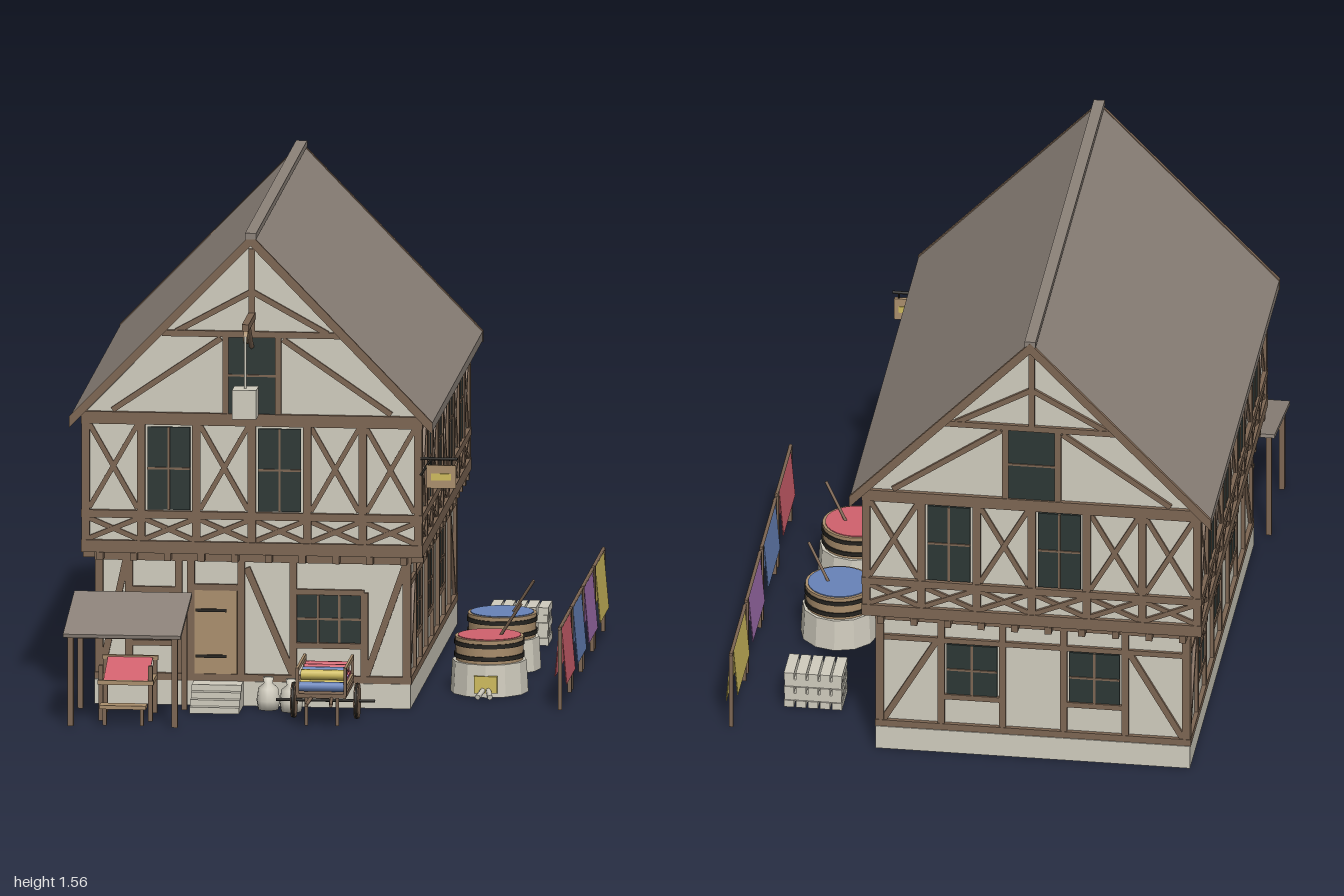
import * as THREE from 'three';

const mat = (name, color) => Object.assign(new THREE.MeshStandardMaterial({ color }), { name });
const M = {
  timber: mat('timber', 0x7d6653), plaster: mat('plaster', 0xd0ccbe), roof: mat('roof', 0x8c8279),
  glass: mat('glass', 0x2d3735), iron: mat('iron', 0x25231f), oak: mat('oak', 0xab8f6d),
  red: mat('red', 0xd0616d), blue: mat('blue', 0x6782b8), purple: mat('purple', 0xa06fae), yellow: mat('yellow', 0xcfbc5e),
};

function add(parent, name, geo, m, x = 0, y = 0, z = 0) {
  const mesh = new THREE.Mesh(geo, m);
  mesh.name = name;
  mesh.position.set(x, y, z);
  parent.add(mesh);
  return mesh;
}
const box = (p, name, m, w, h, d, x, y, z) => add(p, name, new THREE.BoxGeometry(w, h, d), m, x, y, z);
function flatCylinder(r1, r2, h, n) {
  const g = new THREE.CylinderGeometry(r1, r2, h, n).toNonIndexed();
  g.computeVertexNormals();
  return g;
}
function group(parent, name, x = 0, y = 0, z = 0, ry = 0) {
  const g = new THREE.Group();
  g.name = name;
  g.position.set(x, y, z);
  g.rotation.y = ry;
  parent.add(g);
  return g;
}
// Round rod between two points
function rod(p, name, m, a, b, r, n = 8) {
  const A = new THREE.Vector3(...a), B = new THREE.Vector3(...b), d = B.clone().sub(A);
  const mesh = add(p, name, new THREE.CylinderGeometry(r, r, d.length(), n), m);
  mesh.position.copy(A).add(B).multiplyScalar(0.5);
  mesh.quaternion.setFromUnitVectors(new THREE.Vector3(0, 1, 0), d.normalize());
}
// Flat timber in a facade plane, sunk slightly into the wall
function beam(p, u1, y1, u2, y2, w = 0.02, out = 0) {
  const L = Math.hypot(u2 - u1, y2 - y1);
  const b = box(p, 'timberBeam', M.timber, L, w, 0.02, (u1 + u2) / 2, (y1 + y2) / 2, out - 0.01);
  b.rotation.z = Math.atan2(y2 - y1, u2 - u1);
}
function cross(p, u1, y1, u2, y2, w) {
  beam(p, u1, y1, u2, y2, w, -0.002);
  beam(p, u1, y2, u2, y1, w, -0.004);
}
function windowPanes(p, u, y1, y2, w, cols = 2) {
  const h = y2 - y1, y = (y1 + y2) / 2;
  box(p, 'windowGlass', M.glass, w, h, 0.008, u, y, -0.009);
  for (let i = 1; i < cols; i++) box(p, 'mullion', M.timber, 0.007, h, 0.009, u - w / 2 + (w * i) / cols, y, -0.006);
  box(p, 'mullion', M.timber, w, 0.007, 0.009, u, y, -0.006);
}

// Upper floor framing: X = crossed bay, W = window bay
function upperFacade(p, half, pattern) {
  const e = half - 0.013, bw = (2 * e) / pattern.length;
  for (const [y, w] of [[0.52, 0.04], [0.626, 0.025], [0.94, 0.04]]) beam(p, -half, y, half, y, w, 0.002);
  for (let i = 0; i <= pattern.length; i++) beam(p, -e + i * bw, 0.52, -e + i * bw, 0.94, 0.026);
  [...pattern].forEach((c, i) => {
    const a = -e + i * bw + 0.012, b = a + bw - 0.024;
    cross(p, a, 0.545, b, 0.61, 0.016);
    if (c === 'X') cross(p, a, 0.645, b, 0.918, 0.016);
    else windowPanes(p, (a + b) / 2, 0.642, 0.912, 0.138);
  });
}
function groundFrame(p, half) {
  beam(p, -half, 0.09, half, 0.09, 0.025, 0.002);
  beam(p, -half, 0.485, half, 0.485, 0.03, 0.002);
  for (const s of [-1, 1]) beam(p, s * (half - 0.013), 0.09, s * (half - 0.013), 0.49, 0.026);
  const n = Math.round(half / 0.055);
  for (let i = 0; i <= n; i++) box(p, 'joistEnd', M.timber, 0.022, 0.025, 0.05, -half + 0.02 + (i * (2 * half - 0.04)) / n, 0.488, 0.015);
}
// Ground floor framing: B = braced bay, W = window, P = plain panel
function groundFacade(p, half, pattern) {
  groundFrame(p, half);
  const e = half - 0.013, bw = (2 * e) / pattern.length;
  beam(p, -half, 0.405, half, 0.405, 0.018, -0.001);
  [...pattern].forEach((c, i) => {
    const a = -e + i * bw, b = a + bw;
    if (i) beam(p, a, 0.09, a, 0.48, 0.022);
    if (c === 'W') {
      windowPanes(p, (a + b) / 2, 0.21, 0.39, bw - 0.035);
      beam(p, a, 0.2, b, 0.2, 0.018, -0.001);
    }
    if (c === 'B') beam(p, i ? b - 0.01 : a + 0.01, 0.1, i ? a + 0.015 : b - 0.015, 0.4, 0.02, -0.002);
  });
}
function groundFront(p) {
  groundFrame(p, 0.51);
  for (const u of [-0.4, -0.24, -0.2, -0.038, 0.13, 0.36]) if (u !== 0.36) beam(p, u, 0.09, u, 0.48, 0.024);
  beam(p, 0.13, 0.375, 0.36, 0.375, 0.018);
  beam(p, 0.13, 0.2, 0.36, 0.2, 0.018);
  beam(p, 0.36, 0.09, 0.36, 0.375, 0.024);
  beam(p, -0.4, 0.375, -0.24, 0.375, 0.018);
  beam(p, -0.4, 0.2, -0.24, 0.2, 0.018);
  beam(p, -0.2, 0.385, -0.04, 0.385, 0.02);
  beam(p, -0.49, 0.1, -0.41, 0.47, 0.022, -0.002);
  beam(p, -0.02, 0.45, 0.13, 0.1, 0.022, -0.002);
  beam(p, 0.365, 0.1, 0.495, 0.475, 0.022, -0.002);
  windowPanes(p, 0.245, 0.21, 0.365, 0.205, 3);
  windowPanes(p, -0.32, 0.21, 0.365, 0.135);
  box(p, 'door', M.oak, 0.138, 0.28, 0.012, -0.12, 0.238, -0.008);
  for (const y of [0.16, 0.31]) box(p, 'doorHinge', M.iron, 0.1, 0.01, 0.006, -0.135, y, 0);
}
function gable(p) {
  beam(p, -0.29, 1.22, 0.29, 1.22, 0.02);
  beam(p, 0, 1.22, 0, 1.5, 0.02);
  windowPanes(p, 0, 0.96, 1.21, 0.152, 1);
  for (const s of [-1, 1]) {
    beam(p, 0, 1.36, s * 0.245, 1.225, 0.018, -0.002);
    beam(p, s * 0.1, 1.205, s * 0.45, 0.965, 0.018, -0.002);
    beam(p, s * 0.085, 0.95, s * 0.085, 1.22, 0.02);
  }
}
// Inverted V prism along z
function chevron(p, name, m, halfW, eave, ridge, t, z1, z2) {
  const pts = [[-halfW, eave], [-halfW, eave - t], [0, ridge - t], [halfW, eave - t], [halfW, eave], [0, ridge]];
  const shape = new THREE.Shape(pts.map(q => new THREE.Vector2(...q)));
  add(p, name, new THREE.ExtrudeGeometry(shape, { depth: z2 - z1, bevelEnabled: false }), m, 0, 0, z1);
}

function house(root) {
  const h = group(root, 'house', -0.21, 0, -0.178);
  box(h, 'stoneBase', M.plaster, 1.02, 0.08, 1.51, 0, 0.04, 0);
  box(h, 'groundWalls', M.plaster, 0.996, 0.43, 1.476, 0, 0.29, 0);
  const pts = [[-0.538, 0.5], [0.538, 0.5], [0.538, 0.955], [0, 1.515], [-0.538, 0.955]];
  add(h, 'upperWalls', new THREE.ExtrudeGeometry(new THREE.Shape(pts.map(q => new THREE.Vector2(...q))),
    { depth: 1.546, bevelEnabled: false }), M.plaster, 0, 0, -0.773);
  for (let i = 0; i < 4; i++) {
    const long = i % 2 === 1, ry = (i * Math.PI) / 2, s = Math.sin(ry), c = Math.cos(ry);
    const side = ['front', 'right', 'back', 'left'][i];
    const du = long ? 0.55 : 0.785, dg = long ? 0.51 : 0.75;
    const up = group(h, side + 'UpperFraming', s * du, 0, c * du, ry);
    const low = group(h, side + 'GroundFraming', s * dg, 0, c * dg, ry);
    upperFacade(up, long ? 0.785 : 0.55, long ? 'XWXWXWXWX' : 'XWXWXX');
    if (!long) gable(up);
    if (i === 0) groundFront(low);
    else groundFacade(low, long ? 0.75 : 0.51, long ? 'BWPWPWPB' : 'BWPWB');
  }
  chevron(h, 'roof', M.roof, 0.585, 0.945, 1.55, 0.03, -0.81, 0.807);
  for (const z of [-0.821, 0.807]) chevron(h, 'bargeboard', M.timber, 0.587, 0.948, 1.553, 0.038, z, z + 0.012);
  box(h, 'ridgeCap', M.roof, 0.036, 0.02, 1.64, 0, 1.548, 0);
  for (let i = 0; i < 4; i++) box(h, 'doorStep', M.plaster, 0.16, 0.02, 0.15 - i * 0.026, -0.11, 0.01 + i * 0.02, 0.825 - i * 0.013);
}

// Hoist over the gable hatch
function hoist(root) {
  const g = group(root, 'hoist', -0.21);
  box(g, 'hoistArm', M.timber, 0.022, 0.022, 0.23, 0, 1.28, 0.7);
  rod(g, 'hoistBrace', M.timber, [0, 1.18, 0.61], [0, 1.275, 0.725], 0.008, 4);
  add(g, 'pulley', new THREE.CylinderGeometry(0.021, 0.021, 0.014, 12).rotateZ(Math.PI / 2), M.oak, 0, 1.245, 0.79);
  rod(g, 'rope', M.plaster, [0, 1.25, 0.81], [0, 1.08, 0.81], 0.004, 6);
  box(g, 'bale', M.plaster, 0.078, 0.095, 0.078, 0, 1.035, 0.81);
}

function sign(root) {
  const g = group(root, 'hangingSign', 0, 0, 0.605);
  rod(g, 'signBracket', M.iron, [0.335, 0.825, 0], [0.455, 0.825, 0], 0.005);
  rod(g, 'signStay', M.iron, [0.335, 0.77, 0], [0.37, 0.825, 0], 0.004);
  for (const x of [0.37, 0.435]) rod(g, 'signHanger', M.iron, [x, 0.825, 0], [x, 0.8, 0], 0.003);
  box(g, 'signBoard', M.oak, 0.095, 0.075, 0.012, 0.402, 0.767, 0);
  box(g, 'signStripe', M.yellow, 0.065, 0.022, 0.018, 0.402, 0.767, 0);
}

function dyeVat(root, z, dye) {
  const g = group(root, 'dyeVat', 0.52, 0, z);
  add(g, 'hearth', flatCylinder(0.12, 0.126, 0.105, 12), M.plaster, 0, 0.0525, 0);
  add(g, 'vat', new THREE.CylinderGeometry(0.111, 0.108, 0.08, 24), M.oak, 0, 0.142, 0);
  for (const y of [0.122, 0.163]) add(g, 'vatHoop', new THREE.CylinderGeometry(0.114, 0.114, 0.014, 24), M.iron, 0, y, 0);
  add(g, 'dye', new THREE.CylinderGeometry(0.102, 0.102, 0.004, 24), dye, 0, 0.183, 0);
  rod(g, 'paddle', M.timber, [0.035, 0.18, 0], [0.107, 0.295, 0.05], 0.005);
  box(g, 'fire', M.yellow, 0.075, 0.055, 0.015, 0, 0.042, 0.121);
  for (const s of [-1, 1]) rod(g, 'firewood', M.plaster, [s * 0.008, 0.025, 0.12], [s * 0.02, 0.012, 0.185], 0.009, 6);
}

function dryingRack(root, z, cloth) {
  const g = group(root, 'dryingRack', 0.779, 0, z);
  for (const s of [-1, 1]) {
    box(g, 'rackPost', M.timber, 0.013, 0.27, 0.013, 0, 0.135, s * 0.155);
    const sheet = box(g, 'hangingCloth', cloth, 0.003, s > 0 ? 0.19 : 0.165, 0.275, s * 0.0105, s > 0 ? 0.175 : 0.187, 0);
    sheet.rotation.z = s * 0.09;
  }
  rod(g, 'rackPole', M.timber, [0, 0.267, -0.168], [0, 0.267, 0.168], 0.006);
}

function cart(root) {
  const g = group(root, 'clothCart', 0.045, 0, 0.79);
  box(g, 'cartBed', M.timber, 0.16, 0.014, 0.25, 0, 0.1, 0);
  for (const s of [-1, 1]) {
    for (const y of [0.125, 0.185]) box(g, 'cartRail', M.oak, 0.008, 0.014, 0.24, s * 0.077, y, 0);
    for (const e of [-1, 1]) box(g, 'cartStake', M.timber, 0.01, 0.09, 0.01, s * 0.077, 0.146, e * 0.118);
    rod(g, 'cartHandle', M.timber, [s * 0.03, 0.095, 0.08], [s * 0.04, 0.085, 0.21], 0.006);
    add(g, 'cartWheel', new THREE.CylinderGeometry(0.057, 0.057, 0.014, 20).rotateZ(Math.PI / 2), M.timber, s * 0.102, 0.06, -0.02);
    add(g, 'wheelRim', new THREE.TorusGeometry(0.055, 0.004, 6, 20).rotateY(Math.PI / 2), M.iron, s * 0.102, 0.06, -0.02);
    rod(g, 'cartProp', M.timber, [s * 0.05, 0.1, 0.1], [s * 0.05, 0, 0.1], 0.006);
  }
  rod(g, 'axle', M.iron, [-0.16, 0.06, -0.02], [0.16, 0.06, -0.02], 0.005);
  const lower = [M.red, M.red, M.purple, M.red, M.blue, M.yellow, M.blue];
  lower.forEach((m, i) => rod(g, 'clothRoll', m, [-0.073, 0.127, -0.102 + i * 0.034], [0.073, 0.127, -0.102 + i * 0.034], 0.016, 10));
  [M.red, M.red, M.blue, M.yellow].forEach((m, i) =>
    rod(g, 'clothRoll', m, [-0.07, 0.16, -0.08 + i * 0.05], [0.07, 0.16, -0.08 + i * 0.05], 0.017, 10));
}

// Lean-to with a loom and stool
function leanTo(root) {
  const g = group(root, 'leanTo', -0.59);
  const r = box(g, 'leanToRoof', M.roof, 0.38, 0.012, 0.375, 0, 0.335, 0.817);
  r.rotation.x = 0.2;
  for (const s of [-1, 1]) {
    box(g, 'leanToPost', M.timber, 0.018, 0.3, 0.018, s * 0.168, 0.15, 0.97);
    box(g, 'leanToPost', M.timber, 0.018, 0.36, 0.018, s * 0.168, 0.18, 0.66);
    for (const z of [0.72, 0.87]) box(g, 'loomPost', M.timber, 0.014, 0.18, 0.014, s * 0.08, 0.09, z);
    box(g, 'loomSide', M.oak, 0.012, 0.014, 0.16, s * 0.08, 0.12, 0.795);
    box(g, 'stoolLeg', M.timber, 0.012, 0.06, 0.012, s * 0.06, 0.03, 0.952);
  }
  box(g, 'eaveBeam', M.timber, 0.36, 0.015, 0.015, 0, 0.294, 0.97);
  box(g, 'loomBeam', M.oak, 0.18, 0.014, 0.014, 0, 0.125, 0.875);
  box(g, 'loomBeam', M.oak, 0.18, 0.014, 0.014, 0, 0.18, 0.72);
  const web = box(g, 'loomCloth', M.red, 0.145, 0.004, 0.16, 0, 0.155, 0.797);
  web.rotation.x = 0.34;
  box(g, 'stool', M.oak, 0.15, 0.012, 0.05, 0, 0.062, 0.952);
}

export function createModel() {
  const root = new THREE.Group();
  root.name = 'dyersHouse';
  house(root);
  hoist(root);
  sign(root);
  dyeVat(root, 0.23, M.red);
  dyeVat(root, -0.18, M.blue);
  [M.red, M.blue, M.purple, M.yellow].forEach((m, i) => dryingRack(root, 0.385 - i * 0.36, m));
  cart(root);
  leanTo(root);
  // Crossed stack of billets
  const stack = group(root, 'billetStack', 0.535, 0, -0.635);
  for (let k = 0; k < 5; k++) for (let i = 0; i < (k % 2 ? 3 : 5); i++) {
    if (k % 2) box(stack, 'billet', M.plaster, 0.185, 0.024, 0.032, 0, 0.0125 + k * 0.025, (i - 1) * 0.046);
    else box(stack, 'billet', M.plaster, 0.033, 0.024, 0.13, (i - 2) * 0.039, 0.0125 + k * 0.025, 0);
  }
  // Sacks by the door
  const profile = [[0, 0], [0.033, 0], [0.038, 0.03], [0.032, 0.07], [0.014, 0.085], [0.018, 0.105], [0, 0.105]];
  const sackGeo = new THREE.LatheGeometry(profile.map(q => new THREE.Vector2(...q)), 12);
  for (const [x, z] of [[-0.155, 0.622], [-0.078, 0.65]]) add(root, 'sack', sackGeo, M.plaster, x, 0, z);
  return root;
}
